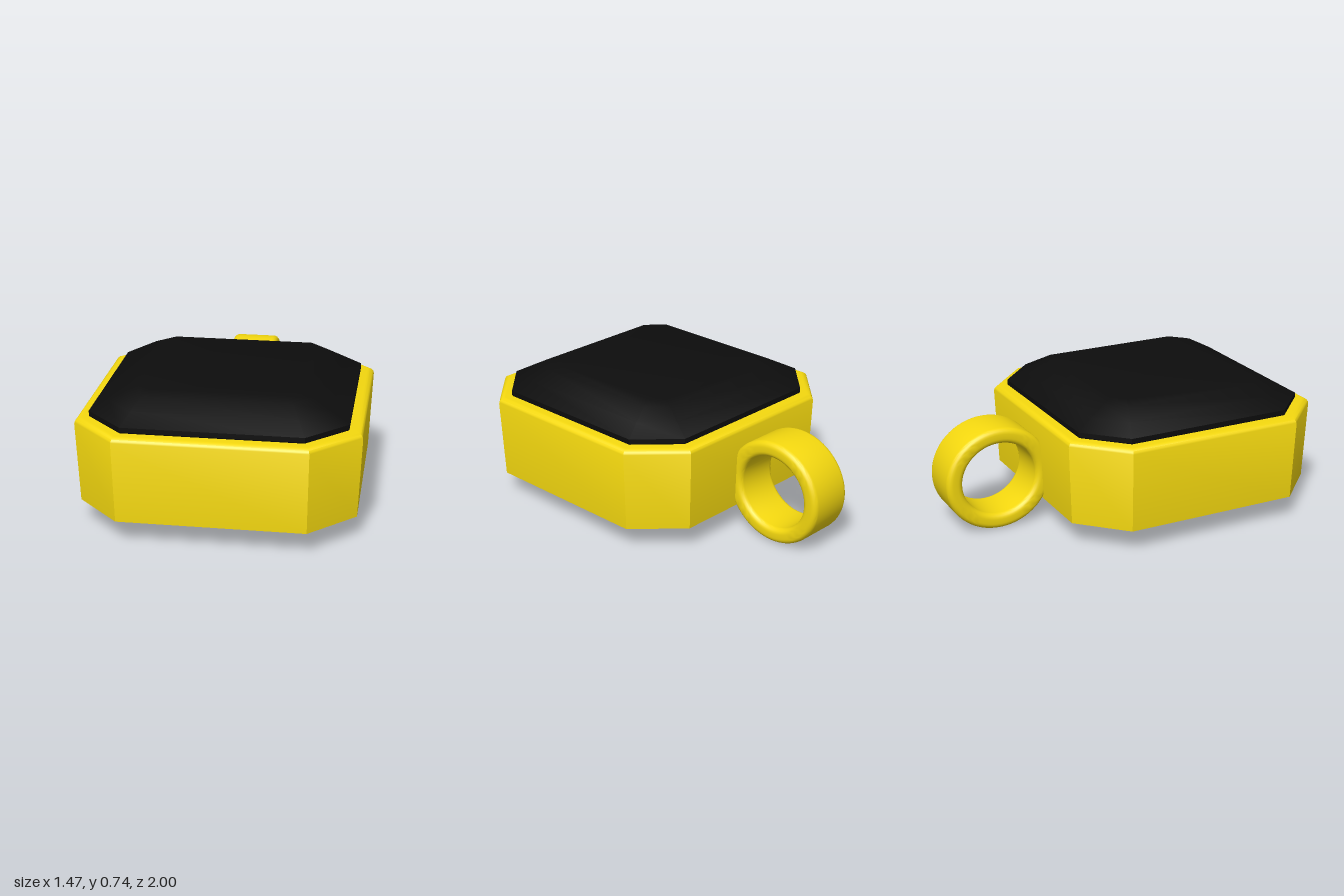
import * as THREE from 'three';
import { toCreasedNormals } from 'three/addons/utils/BufferGeometryUtils.js';

// Square outline with cut corners; h is the half width, corners inset evenly
function octagon(h) {
  const f = 0.491 + (h - 0.735) * 0.414;
  return [[h, f], [f, h], [-f, h], [-h, f], [-h, -f], [-f, -h], [f, -h], [h, -f]];
}

// Closed solid through octagons given as [half width, height], bottom to top
function loftOctagons(profile) {
  const pos = [];
  const rings = profile.map(([h, y]) => octagon(h).map(([x, z]) => [x, y, z]));
  const tri = (a, b, c) => pos.push(...a, ...b, ...c);
  for (let i = 0; i < rings.length - 1; i++) {
    for (let j = 0; j < 8; j++) {
      const k = (j + 1) % 8;
      const [a, b, c, d] = [rings[i][j], rings[i][k], rings[i + 1][k], rings[i + 1][j]];
      tri(a, d, c);
      tri(a, c, b);
    }
  }
  const bottom = rings[0], top = rings[rings.length - 1];
  for (let j = 1; j < 7; j++) {
    tri(bottom[0], bottom[j], bottom[j + 1]);
    tri(top[0], top[j + 1], top[j]);
  }
  const g = new THREE.BufferGeometry();
  g.setAttribute('position', new THREE.Float32BufferAttribute(pos, 3));
  return toCreasedNormals(g, 0.5);
}

// Rounded-rectangle cross-section swept around the y axis
function bandGeometry(inner, outer, halfWidth, r) {
  const pts = [];
  const corners = [[outer - r, -halfWidth + r, -90], [outer - r, halfWidth - r, 0],
    [inner + r, halfWidth - r, 90], [inner + r, -halfWidth + r, 180]];
  for (const [cx, cy, start] of corners) {
    for (let i = 0; i <= 5; i++) {
      const a = THREE.MathUtils.degToRad(start + i * 18);
      pts.push(new THREE.Vector2(cx + r * Math.cos(a), cy + r * Math.sin(a)));
    }
  }
  pts.push(pts[0].clone());
  return toCreasedNormals(new THREE.LatheGeometry(pts, 64), 0.6);
}

export function createModel() {
  const group = new THREE.Group();
  const gold = new THREE.MeshStandardMaterial({ color: 0xf5d90f });
  const black = new THREE.MeshStandardMaterial({ color: 0x0d0d0d });
  const add = (name, geometry, material) => {
    const mesh = new THREE.Mesh(geometry, material);
    mesh.name = name;
    group.add(mesh);
    return mesh;
  };

  // Tapered case with a rounded upper rim
  const caseProfile = [[0.717, 0.125]];
  for (let i = 0; i <= 6; i++) {
    const a = (i / 6) * Math.PI / 2;
    caseProfile.push([0.7 + 0.035 * Math.cos(a), 0.55 + 0.034 * Math.sin(a)]);
  }
  add('case', loftOctagons(caseProfile), gold).position.z = 0.265;

  // Domed stone with a flat table
  const stoneProfile = [[0.655, 0.575], [0.664, 0.59], [0.664, 0.615],
    [0.57, 0.667], [0.48, 0.716], [0.425, 0.735]];
  add('stone', loftOctagons(stoneProfile), black).position.z = 0.265;

  // Slightly oval hanging loop at the back, its axis along x
  const loop = add('hangingLoop', bandGeometry(0.2, 0.285, 0.132, 0.03), gold);
  loop.rotation.z = Math.PI / 2;
  loop.scale.z = 1.05;
  loop.position.set(0, 0.285, -0.7);

  return group;
}
